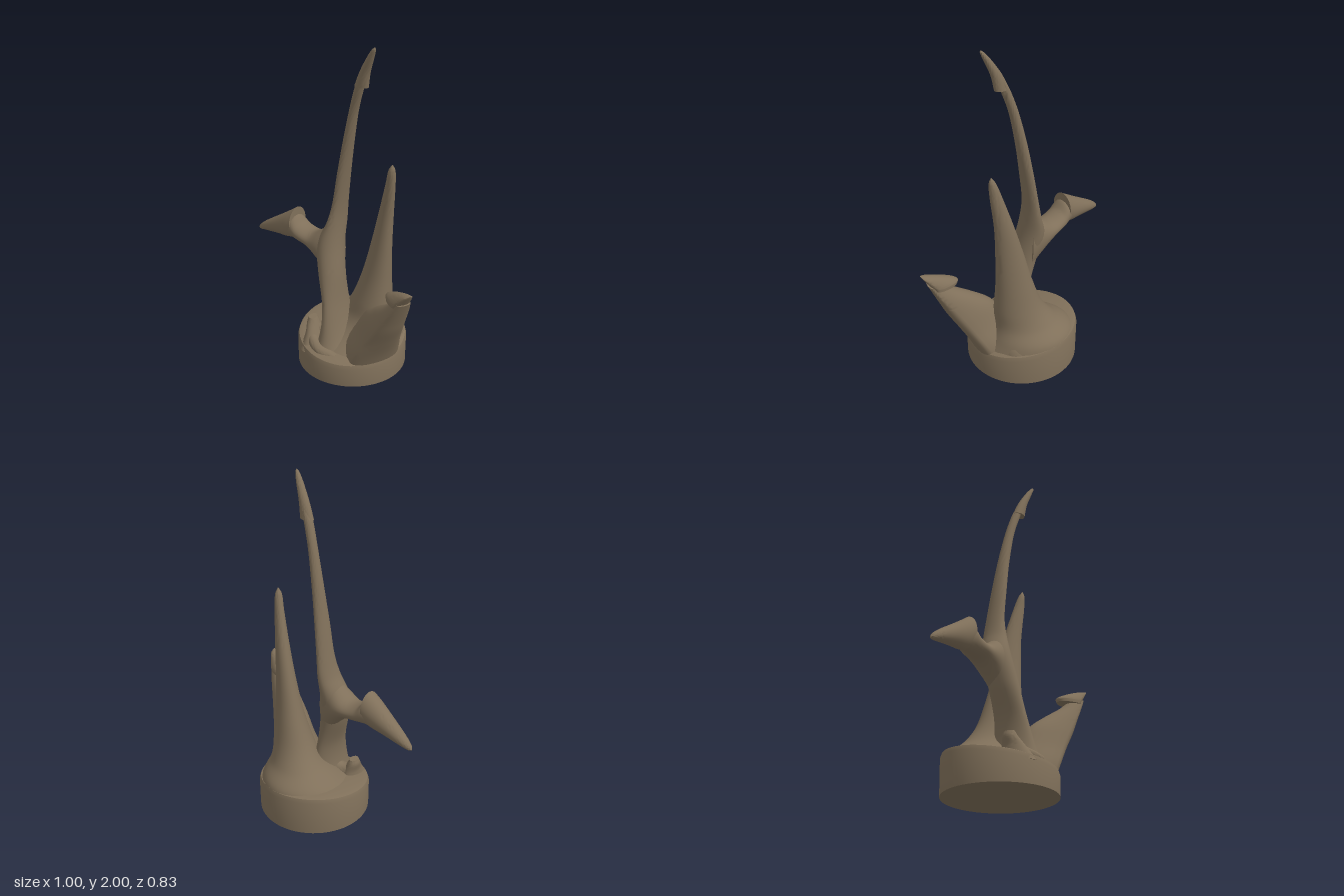
import * as THREE from 'three';
import { toCreasedNormals } from 'three/addons/utils/BufferGeometryUtils.js';

const SIDES = 28;

// Closed, smooth skin through sections [x, y, z, halfWidthU, halfWidthV].
// The half of each section on the +v side is scaled by flat.
function loft(sections, u, v, flat = 1, steps = 8) {
  const U = new THREE.Vector3(...u).normalize();
  const V = new THREE.Vector3(...v).normalize();
  const centers = sections.map(s => new THREE.Vector3(s[0], s[1], s[2]));
  const sizes = sections.map(s => new THREE.Vector3(s[3], s[4], 0));
  const path = new THREE.CatmullRomCurve3(centers, false, 'catmullrom', 0.5);
  const size = new THREE.CatmullRomCurve3(sizes, false, 'catmullrom', 0.5);
  const travel = centers[centers.length - 1].clone().sub(centers[0]);
  if (U.clone().cross(V).dot(travel) < 0) U.negate();
  const rings = (sections.length - 1) * steps;
  const pos = [], idx = [];
  for (let i = 0; i <= rings; i++) {
    const c = path.getPoint(i / rings), r = size.getPoint(i / rings);
    for (let j = 0; j < SIDES; j++) {
      const t = j / SIDES * Math.PI * 2, s = Math.sin(t);
      const p = c.clone()
        .addScaledVector(U, Math.cos(t) * Math.max(r.x, 0.002))
        .addScaledVector(V, s * (s > 0 ? flat : 1) * Math.max(r.y, 0.002));
      pos.push(p.x, p.y, p.z);
    }
  }
  for (let i = 0; i < rings; i++) {
    for (let j = 0; j < SIDES; j++) {
      const k = (j + 1) % SIDES;
      const a = i * SIDES + j, b = i * SIDES + k, c = a + SIDES, d = b + SIDES;
      idx.push(a, b, d, a, d, c);
    }
  }
  // End caps
  const first = pos.length / 3;
  pos.push(...centers[0].toArray(), ...centers[centers.length - 1].toArray());
  for (let j = 0; j < SIDES; j++) {
    const k = (j + 1) % SIDES, e = rings * SIDES;
    idx.push(first, k, j, first + 1, e + j, e + k);
  }
  const geo = new THREE.BufferGeometry();
  geo.setAttribute('position', new THREE.Float32BufferAttribute(pos, 3));
  geo.setIndex(idx);
  return toCreasedNormals(geo, 0.9);
}

export function createModel() {
  const group = new THREE.Group();
  const bone = new THREE.MeshStandardMaterial({ color: 0x80705a });
  bone.name = 'dull brown';
  const add = (name, geo) => {
    const mesh = new THREE.Mesh(geo, bone);
    mesh.name = name;
    group.add(mesh);
  };

  // Round base whose top slopes down toward the front
  const profile = [[0, 0], [0.322, 0], [0.324, 0.16], [0.316, 0.185], [0.29, 0.195], [0.15, 0.205], [0, 0.21]]
    .map(p => new THREE.Vector2(...p));
  const base = new THREE.LatheGeometry(profile, 64);
  const bp = base.attributes.position;
  for (let i = 0; i < bp.count; i++) {
    if (bp.getY(i) > 0.1) bp.setY(i, bp.getY(i) - 0.15 * bp.getZ(i));
  }
  base.translate(0.12, 0, -0.08);
  add('base', toCreasedNormals(base, 0.7));

  const across = [-0.57, 0, 0.82], along = [0.82, 0, 0.57], up = [0, 1, 0];

  // Tall curved stem and its point, barbed on the inner side of the curve
  add('tallStem', loft([
    [0.06, 0.1, 0.0, 0.2, 0.15],
    [0.047, 0.22, 0.0, 0.14, 0.08],
    [0.03, 0.4, -0.02, 0.105, 0.05],
    [0.0, 0.6, -0.06, 0.092, 0.068],
    [-0.01, 0.76, -0.1, 0.09, 0.072],
    [0.023, 0.9, -0.11, 0.075, 0.042],
    [0.042, 1.02, -0.108, 0.06, 0.032],
    [0.063, 1.2, -0.09, 0.05, 0.03],
    [0.09, 1.4, -0.066, 0.037, 0.03],
    [0.122, 1.6, -0.033, 0.028, 0.026],
    [0.153, 1.74, 0.003, 0.026, 0.026],
    [0.175, 1.81, 0.026, 0.024, 0.022],
  ], across, along));
  add('tallStemBarb', loft([
    [0.168, 1.76, 0.022, 0.031, 0.043],
    [0.189, 1.85, 0.045, 0.026, 0.031],
    [0.22, 1.94, 0.081, 0.019, 0.02],
    [0.237, 1.985, 0.102, 0.011, 0.011],
    [0.243, 2.0, 0.108, 0.002, 0.002],
  ], across, along));

  // Side arm branching off the tall stem, ending in a barbed point
  add('sideArm', loft([
    [0.03, 0.71, -0.08, 0.07, 0.2],
    [-0.05, 0.725, -0.13, 0.088, 0.11],
    [-0.12, 0.735, -0.18, 0.082, 0.052],
    [-0.19, 0.75, -0.222, 0.076, 0.052],
    [-0.24, 0.775, -0.25, 0.069, 0.075],
    [-0.3, 0.76, -0.285, 0.05, 0.06],
  ], across, up));
  add('sideArmBarb', loft([
    [-0.235, 0.802, -0.247, 0.07, 0.097],
    [-0.28, 0.777, -0.272, 0.066, 0.086],
    [-0.35, 0.745, -0.317, 0.053, 0.062],
    [-0.44, 0.702, -0.375, 0.033, 0.035],
    [-0.485, 0.677, -0.402, 0.017, 0.018],
    [-0.5, 0.668, -0.412, 0.002, 0.002],
  ], across, up));

  // Middle spike, its foot spreading over the back of the base
  add('middleSpike', loft([
    [0.14, 0.14, -0.1, 0.295, 0.3],
    [0.185, 0.235, -0.14, 0.22, 0.245],
    [0.215, 0.32, -0.115, 0.15, 0.18],
    [0.24, 0.43, -0.083, 0.115, 0.14],
    [0.265, 0.6, -0.065, 0.082, 0.106],
    [0.288, 0.8, -0.045, 0.057, 0.08],
    [0.311, 1.0, -0.02, 0.041, 0.055],
    [0.334, 1.2, 0.017, 0.027, 0.034],
    [0.341, 1.29, 0.034, 0.02, 0.02],
    [0.344, 1.33, 0.04, 0.002, 0.002],
  ], [0.9, 0, -0.44], [0.44, 0, 0.9]));

  // Broad claw leaning over the front left of the base, flattened outside
  const clawU = [0.8, 0, -0.6], clawV = [0.6, 0, 0.8];
  add('frontClaw', loft([
    [0.25, 0.06, 0.083, 0.17, 0.24],
    [0.285, 0.2, 0.137, 0.152, 0.235],
    [0.324, 0.32, 0.193, 0.118, 0.225],
    [0.362, 0.43, 0.246, 0.095, 0.215],
    [0.394, 0.51, 0.287, 0.078, 0.165],
    [0.428, 0.59, 0.331, 0.06, 0.1],
    [0.454, 0.66, 0.366, 0.042, 0.06],
  ], clawU, clawV, 0.3));
  add('frontClawBarb', loft([
    [0.43, 0.632, 0.332, 0.056, 0.115],
    [0.435, 0.655, 0.339, 0.055, 0.125],
    [0.456, 0.69, 0.366, 0.042, 0.09],
    [0.477, 0.72, 0.393, 0.025, 0.042],
    [0.488, 0.735, 0.41, 0.002, 0.002],
  ], clawU, clawV, 0.3));

  // Short broken stump, with low ridges running forward and to the stem
  add('stump', loft([
    [-0.09, 0.13, 0.02, 0.11, 0.07],
    [-0.095, 0.21, 0.0, 0.07, 0.045],
    [-0.105, 0.265, -0.02, 0.045, 0.034],
    [-0.108, 0.295, -0.025, 0.032, 0.022],
  ], [-0.4, 0, 0.9], [0.9, 0, 0.4]));
  add('stumpRidge', loft([
    [-0.11, 0.2, -0.02, 0.03, 0.05],
    [-0.09, 0.18, 0.06, 0.035, 0.035],
    [-0.03, 0.16, 0.13, 0.04, 0.03],
    [0.06, 0.14, 0.17, 0.03, 0.02],
  ], [0.8, 0, -0.6], up));
  add('stumpWeb', loft([
    [-0.1, 0.22, -0.02, 0.04, 0.045],
    [-0.05, 0.21, -0.02, 0.04, 0.045],
    [0.02, 0.22, -0.01, 0.05, 0.06],
  ], [0, 0, 1], up));

  // Raised shoulder beside the rim
  add('rimShoulder', loft([
    [0.325, 0.12, -0.12, 0.11, 0.13],
    [0.335, 0.19, -0.11, 0.092, 0.11],
    [0.335, 0.25, -0.1, 0.06, 0.075],
    [0.31, 0.31, -0.09, 0.02, 0.03],
  ], [1, 0, 0], [0, 0, 1]));

  return group;
}
